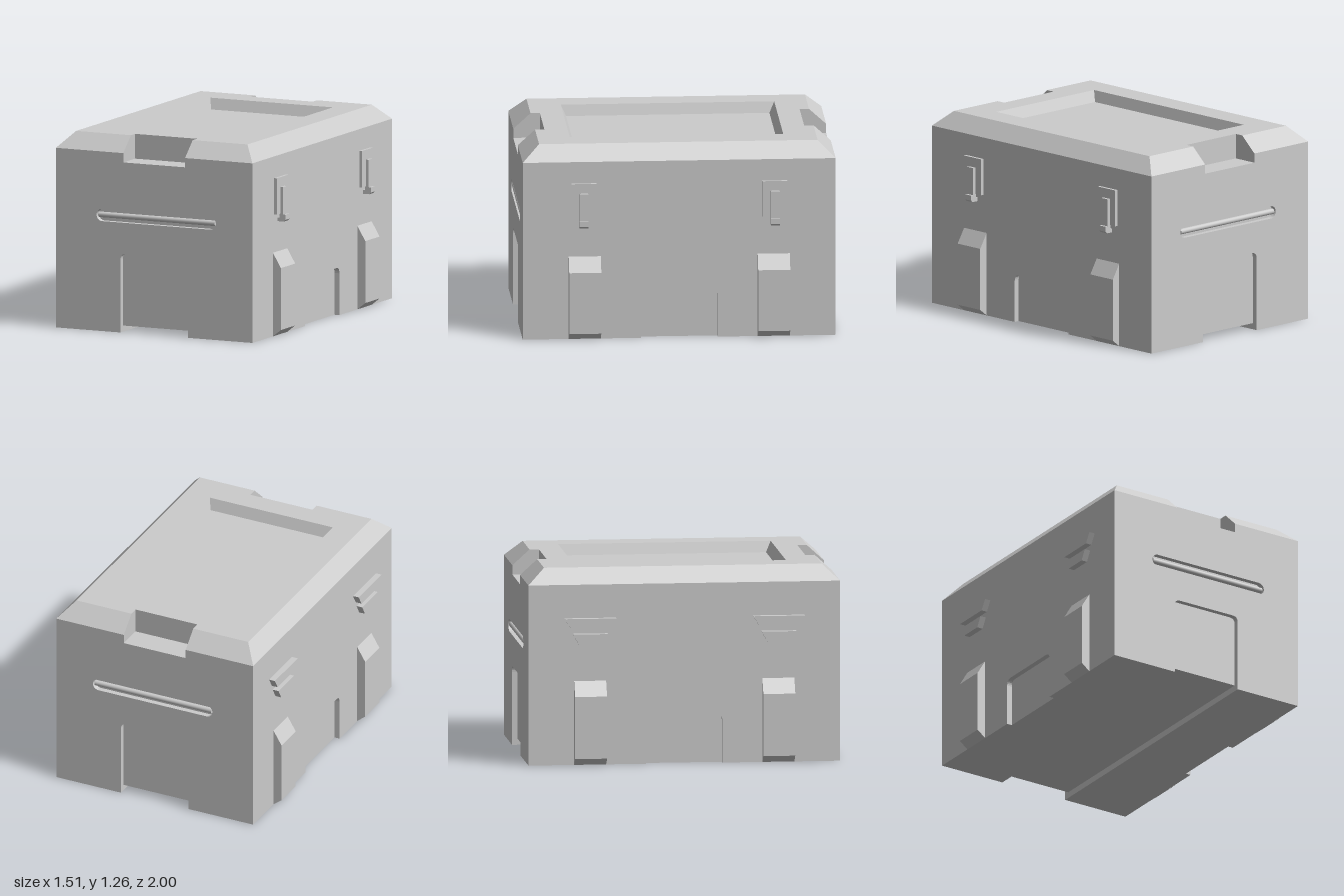
import * as THREE from 'three';
import { ConvexGeometry } from 'three/addons/geometries/ConvexGeometry.js';

const W = 0.7, L = 1, SEAM = 1.1, RIM = 1.16, TOP = 1.26; // half width, half length, heights
const SKIN = 0.035; // panel thickness, equal to the depth of the recesses

const grey = new THREE.MeshStandardMaterial({ color: 0xcccccc, flatShading: true });
const smoothGrey = new THREE.MeshStandardMaterial({ color: 0xcccccc });

export function createModel() {
  const model = new THREE.Group();

  const add = (name, geometry, material = grey) => {
    const mesh = new THREE.Mesh(geometry, material);
    mesh.name = name;
    model.add(mesh);
    return mesh;
  };
  const polygon = (points) => new THREE.Shape(points.map(([x, y]) => new THREE.Vector2(x, y)));
  // Extrusion centred on its depth
  const extrude = (shape, depth) =>
    new THREE.ExtrudeGeometry(shape, { depth, bevelEnabled: false, curveSegments: 6 })
      .translate(0, 0, -depth / 2);
  const hull = (points) => new ConvexGeometry(points.map((p) => new THREE.Vector3(...p)));
  const box = (w, h, d, x, y, z) => new THREE.BoxGeometry(w, h, d).translate(x, y, z);

  // Wall panel with a round-cornered doorway open at the bottom
  const panelShape = (half, doorHalf, doorTop, r = 0.04) => {
    const s = new THREE.Shape();
    s.moveTo(-half, 0);
    s.lineTo(-doorHalf, 0);
    s.lineTo(-doorHalf, doorTop - r);
    s.quadraticCurveTo(-doorHalf, doorTop, -doorHalf + r, doorTop);
    s.lineTo(doorHalf - r, doorTop);
    s.quadraticCurveTo(doorHalf, doorTop, doorHalf, doorTop - r);
    s.lineTo(doorHalf, 0);
    s.lineTo(half, 0);
    s.lineTo(half, SEAM);
    s.lineTo(-half, SEAM);
    return s;
  };

  // Core with a channel along the underside
  const cx = W - SKIN, cz = L - SKIN;
  add('bodyCore', extrude(polygon([
    [-cx, 0], [-0.24, 0], [-0.24, 0.04], [0.24, 0.04], [0.24, 0], [cx, 0], [cx, SEAM], [-cx, SEAM],
  ]), cz * 2));

  // End panels with a doorway and a handle slot
  const slotX = 0.015, slotY = 0.75, slotR = 0.04, slotHalf = 0.425;
  const endShape = panelShape(W, 0.24, 0.51);
  const slot = new THREE.Path();
  slot.absarc(slotX + slotHalf - slotR, slotY, slotR, -Math.PI / 2, Math.PI / 2);
  slot.absarc(slotX - slotHalf + slotR, slotY, slotR, Math.PI / 2, Math.PI * 1.5);
  slot.closePath();
  endShape.holes.push(slot);
  const sideShape = panelShape(cz, 0.245, 0.31);

  for (const s of [1, -1]) {
    const end = s > 0 ? 'front' : 'back';
    const side = s > 0 ? 'left' : 'right';
    add(`${end}Panel`, extrude(endShape, SKIN).translate(0, 0, s * (L - SKIN / 2)));
    add(`${end}HandleBar`,
      new THREE.CylinderGeometry(0.018, 0.018, slotHalf * 2 - 0.02, 16)
        .rotateZ(Math.PI / 2).translate(slotX, slotY, s * 0.98), smoothGrey);
    add(`${side}Panel`,
      extrude(sideShape, SKIN).rotateY(Math.PI / 2).translate(s * (W - SKIN / 2), 0, 0));
  }

  // Lid: sloped rails and bars around a sunken tray
  const inX = 0.61, inZ = 0.89, notchX = 0.22, notchZ = 0.83, trayY = 1.19;
  add('lidTray', box(1.2, trayY - SEAM, 1.5, 0, (trayY + SEAM) / 2, 0));
  for (const s of [1, -1]) {
    add('lidRail', extrude(polygon([
      [s * 0.415, SEAM], [s * W, SEAM], [s * W, RIM], [s * inX, TOP], [s * 0.437, TOP], [s * 0.415, trayY],
    ]), notchZ * 2));
    // Profile is drawn in z and y, then turned across the lid
    add('lidBar', extrude(polygon([
      [-s * 0.65, SEAM], [-s * notchZ, SEAM], [-s * notchZ, TOP], [-s * 0.682, TOP], [-s * 0.65, trayY],
    ]), 0.437 * 2).rotateY(Math.PI / 2));

    // Mitred corner blocks on either side of the grip notch
    for (const t of [1, -1]) {
      const points = [];
      for (const y of [SEAM, RIM, TOP]) {
        const x1 = y === TOP ? inX : W, z1 = y === TOP ? inZ : L;
        for (const x of [notchX, x1]) for (const z of [notchZ, z1]) points.push([s * x, y, t * z]);
      }
      add('lidCorner', hull(points));
    }
  }

  // Side posts with bevelled ends
  for (const s of [1, -1]) {
    for (const t of [1, -1]) {
      add('sidePost', extrude(polygon([
        [s * 0.68, 0], [s * W, 0], [s * 0.757, 0.045], [s * 0.757, 0.445], [s * W, 0.54], [s * 0.68, 0.54],
      ]), 0.205).translate(0, 0, t * 0.604));
    }
  }

  for (const t of [1, -1]) {
    // Latches on the left side: a plate and a hooked lever
    add('latchPlate', box(0.04, 0.235, 0.16, 0.7, 0.9025, t * 0.61));
    add('latchLever', extrude(polygon([
      [0.69, 0.735], [0.745, 0.735], [0.757, 0.747], [0.757, 0.78], [0.74, 0.78],
      [0.74, 0.957], [0.715, 0.957], [0.715, 0.76], [0.69, 0.76],
    ]), 0.057).translate(0, 0, t * 0.612));

    // Tapered hinge ribs on the right side
    for (const [top, bottom, wide, narrow] of [[0.945, 0.88, 0.165, 0.125], [0.845, 0.78, 0.112, 0.075]]) {
      add('hingeRib', extrude(polygon([
        [-wide, top], [-narrow, bottom], [narrow, bottom], [wide, top],
      ]), 0.06).rotateY(Math.PI / 2).translate(-0.711, 0, t * 0.605));
    }
  }

  return model;
}
